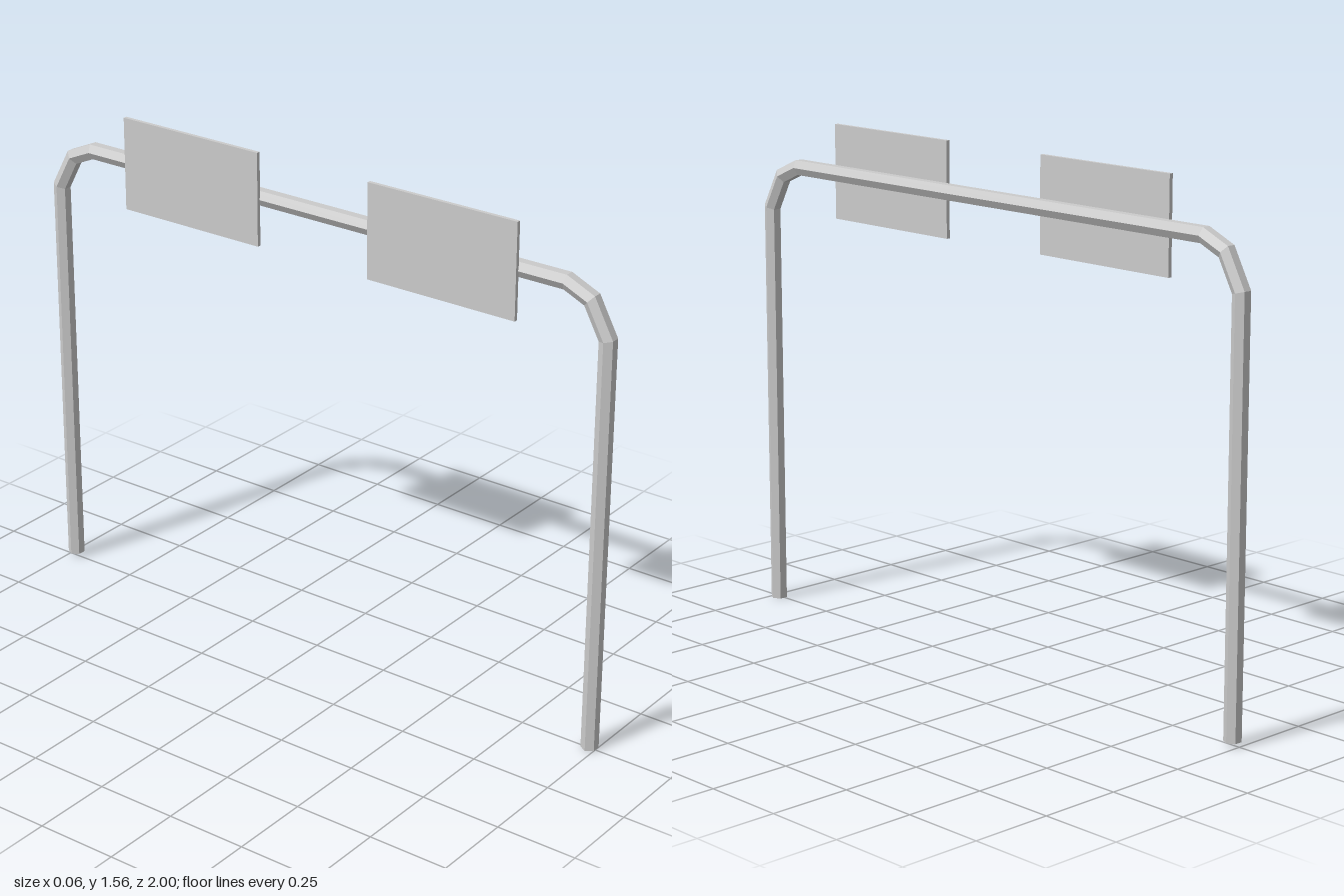
import * as THREE from 'three';

const material = new THREE.MeshStandardMaterial({ color: 0xcccccc, flatShading: true });

// Sweep a regular polygon along a path in the z-y plane, with mitred joints and end caps
function sweepPipe(path, radius, sides, cx) {
  const points = path.map(([z, y]) => new THREE.Vector2(z, y));
  const direction = (i) => points[i + 1].clone().sub(points[i]).normalize();
  const last = points.length - 1;

  const rings = points.map((p, i) => {
    const before = direction(Math.max(i - 1, 0));
    const after = direction(Math.min(i, last - 1));
    const t = before.clone().add(after).normalize();
    const stretch = 1 / t.dot(after);
    return Array.from({ length: sides }, (_, j) => {
      const a = (j / sides) * Math.PI * 2;
      const out = radius * Math.sin(a) * stretch;
      return new THREE.Vector3(cx + radius * Math.cos(a), p.y - t.x * out, p.x + t.y * out);
    });
  });

  const corners = [];
  for (let j = 0; j < sides; j++) {
    const k = (j + 1) % sides;
    for (let i = 0; i < last; i++) {
      const [a, b, c, d] = [rings[i][j], rings[i][k], rings[i + 1][j], rings[i + 1][k]];
      corners.push(a, c, b, b, c, d);
    }
    if (j > 0 && j < sides - 1) {
      corners.push(rings[0][0], rings[0][j], rings[0][k]);
      corners.push(rings[last][0], rings[last][k], rings[last][j]);
    }
  }
  const geometry = new THREE.BufferGeometry().setFromPoints(corners);
  geometry.computeVertexNormals();
  return geometry;
}

export function createModel() {
  const group = new THREE.Group();

  // Hexagonal pipe: two legs, two-step bends and the crossbar
  const half = [[0.978, 1.275], [0.922, 1.379], [0.843, 1.414]];
  const path = [
    [0.978, 0],
    ...half,
    ...half.map(([z, y]) => [-z, y]).reverse(),
    [-0.978, 0.013],
  ];
  const frame = new THREE.Mesh(sweepPipe(path, 0.026, 6, 0.004), material);
  frame.name = 'pipeFrame';
  group.add(frame);

  // Flat sign panels on the -x side of the crossbar
  for (const [name, z, bottom] of [['frontSignPanel', 0.449, 1.268], ['rearSignPanel', -0.442, 1.272]]) {
    const height = 1.56 - bottom;
    const panel = new THREE.Mesh(new THREE.BoxGeometry(0.012, height, 0.5), material);
    panel.position.set(-0.024, bottom + height / 2, z);
    panel.name = name;
    group.add(panel);
  }

  return group;
}
